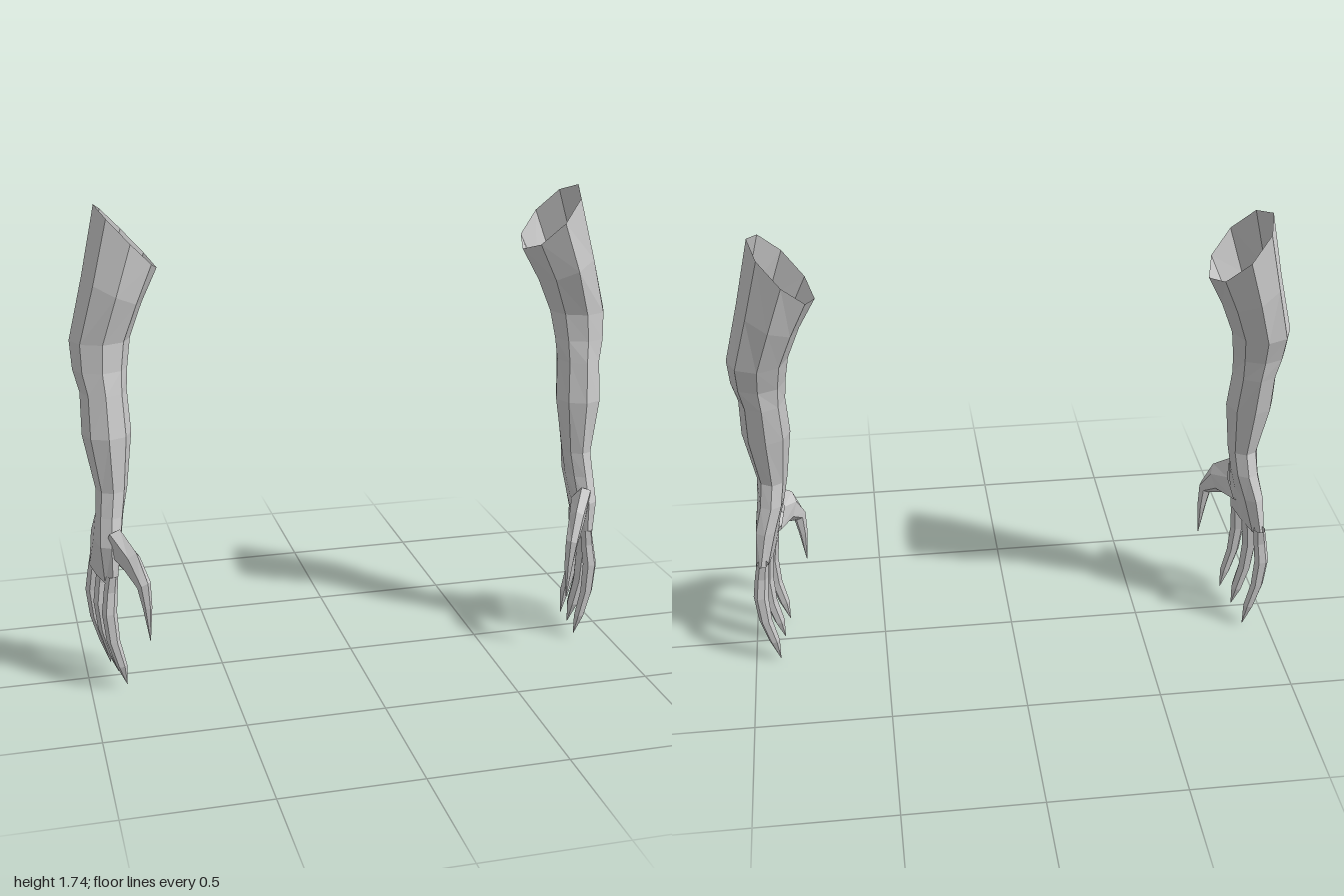
import * as THREE from 'three';

const material = new THREE.MeshStandardMaterial({ color: 0xcccccc, flatShading: true, side: THREE.DoubleSide });

// Cross-sections run from top to bottom: centre x, y, z, half widths rx, rz, and optional
// slopes sx, sz (rise per x, z), square (exponent below 1 gives a boxier outline), skew (x shift per z).
function loft(name, rings, sides, side) {
  const pos = [], index = [];
  const pow = (v, p) => Math.sign(v) * Math.abs(v) ** p;
  for (const { x, y, z, rx, rz, sx = 0, sz = 0, square = 1, skew = 0 } of rings) {
    for (let i = 0; i < sides; i++) {
      const a = (i / sides) * Math.PI * 2;
      const dx = rx * pow(Math.cos(a), square);
      const dz = rz * pow(Math.sin(a), square);
      pos.push(side * (x + dx + skew * dz), y + sx * dx + sz * dz, z + dz);
    }
  }
  const face = (a, b, c) => (side > 0 ? index.push(a, b, c) : index.push(a, c, b));
  for (let r = 0; r < rings.length - 1; r++) {
    for (let i = 0; i < sides; i++) {
      const j = (i + 1) % sides, a = r * sides + i, b = r * sides + j;
      face(a, b, a + sides);
      face(b, b + sides, a + sides);
    }
  }
  // close the lower end
  const last = (rings.length - 1) * sides;
  for (let i = 1; i < sides - 1; i++) face(last, last + i, last + i + 1);

  const geometry = new THREE.BufferGeometry();
  geometry.setAttribute('position', new THREE.Float32BufferAttribute(pos, 3));
  geometry.setIndex(index);
  geometry.computeVertexNormals();
  const mesh = new THREE.Mesh(geometry, material);
  mesh.name = name;
  return mesh;
}

// Section given by its inner/outer x and back/front z limits
const section = (y, inner, outer, back, front, extra = {}) => ({
  x: (inner + outer) / 2, y, z: (back + front) / 2,
  rx: (outer - inner) / 2, rz: (front - back) / 2, ...extra,
});

function createArm(side) {
  const arm = new THREE.Group();
  arm.name = side > 0 ? 'leftArm' : 'rightArm';

  // Slanted open shoulder, elbow, forearm, wrist and palm
  arm.add(loft('armAndPalm', [
    section(1.63, 0.68, 0.89, -0.235, 0.07, { sx: 1.1 }),
    section(1.45, 0.74, 0.945, -0.205, 0.08, { sx: 0.5 }),
    section(1.28, 0.787, 1.0, -0.16, 0.055),
    section(1.18, 0.803, 0.995, -0.125, 0.06),
    section(1.1, 0.81, 0.975, -0.115, 0.075),
    section(0.95, 0.803, 0.977, -0.09, 0.095),
    section(0.75, 0.828, 0.94, -0.05, 0.09),
    section(0.66, 0.845, 0.945, -0.07, 0.105, { square: 0.8 }),
    section(0.56, 0.87, 0.958, -0.09, 0.13, { square: 0.65, skew: -0.1 }),
    section(0.42, 0.9, 0.955, -0.105, 0.127, { square: 0.6, skew: -0.2 }),
  ], 8, side));

  // Three fingers that curl inward to a point
  const fingers = [
    { name: 'frontFinger', z: 0.107, lean: 0.012, width: 0.024, shift: -0.037, tip: 0.02 },
    { name: 'middleFinger', z: -0.003, lean: 0.006, width: 0.035, shift: -0.018, tip: 0.02 },
    { name: 'backFinger', z: -0.108, lean: -0.012, width: 0.025, shift: 0, tip: 0.005 },
  ];
  for (const { name, z, lean, width, shift, tip } of fingers) {
    const ring = (x, y, t, w, rx) => ({ x: x + shift, y, z: z + lean * t, rx, rz: width * w });
    arm.add(loft(name, [
      ring(0.942, 0.45, 0, 1.1, 0.022),
      ring(0.95, 0.39, 0, 0.95, 0.025),
      ring(0.959, 0.31, 0.9, 1, 0.027),
      ring(0.95, 0.2, 1.1, 0.95, 0.024),
      ring(0.925, 0.1, 1, 0.85, 0.02),
      ring(0.907, tip, 0.5, 0.04, 0.001),
    ], 6, side));
  }

  // Thumb sweeping forward and inward, then down
  arm.add(loft('thumb', [
    { x: 0.89, y: 0.56, z: 0.075, rx: 0.037, rz: 0.06, sx: -0.4, sz: 1.2 },
    { x: 0.84, y: 0.515, z: 0.165, rx: 0.03, rz: 0.035, sx: -0.7, sz: 1.25 },
    { x: 0.805, y: 0.445, z: 0.212, rx: 0.024, rz: 0.024, sx: -0.4, sz: 0.4 },
    { x: 0.796, y: 0.36, z: 0.213, rx: 0.017, rz: 0.019 },
    { x: 0.79, y: 0.23, z: 0.215, rx: 0.001, rz: 0.001 },
  ], 6, side));
  return arm;
}

export function createModel() {
  const model = new THREE.Group();
  model.name = 'pairOfArms';
  for (const side of [1, -1]) model.add(createArm(side));
  return model;
}
